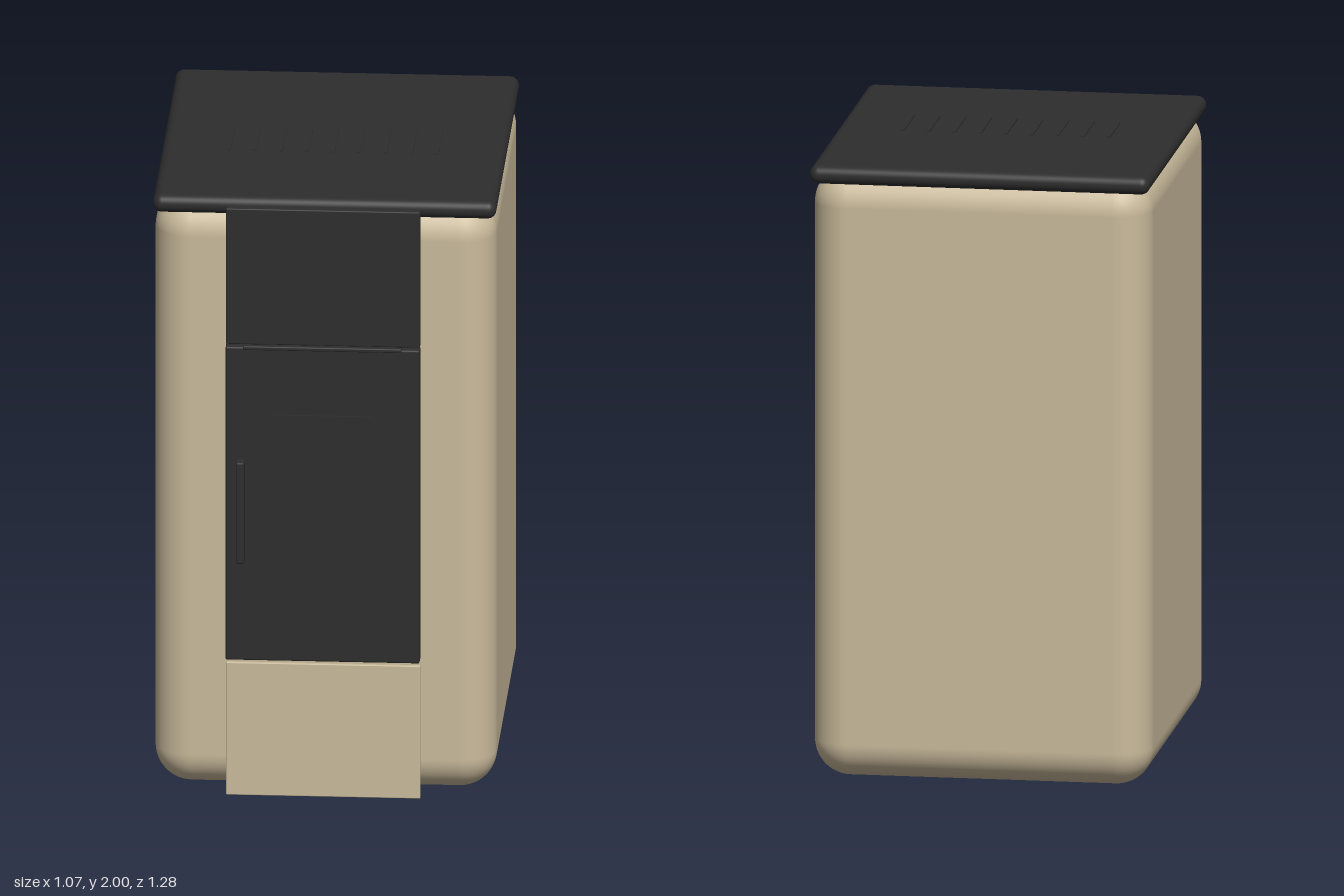
import * as THREE from 'three';
import { RoundedBoxGeometry } from 'three/addons/geometries/RoundedBoxGeometry.js';

export function createModel() {
  const stove = new THREE.Group();
  stove.name = 'stove';

  const cream = new THREE.MeshStandardMaterial({ color: 0xcabb9c });
  cream.name = 'cream enamel';
  const black = new THREE.MeshStandardMaterial({ color: 0x2d2d2d });
  black.name = 'black iron';

  // Box given by its limits on each axis, with rounded edges when radius > 0
  function block(name, material, [x0, x1], [y0, y1], [z0, z1], radius = 0, segments = 2) {
    const size = [x1 - x0, y1 - y0, z1 - z0];
    const geometry = radius > 0
      ? new RoundedBoxGeometry(...size, segments, radius)
      : new THREE.BoxGeometry(...size);
    const mesh = new THREE.Mesh(geometry, material);
    mesh.name = name;
    mesh.position.set((x0 + x1) / 2, (y0 + y1) / 2, (z0 + z1) / 2);
    stove.add(mesh);
    return mesh;
  }

  // Softly rounded casing and the overhanging lid
  block('casing', cream, [-0.532, 0.532], [0.038, 1.98], [-0.635, 0.555], 0.115, 8);
  block('lid', black, [-0.535, 0.535], [1.938, 1.996], [-0.64, 0.552], 0.028, 6);

  // Row of thin vent ribs on the lid
  for (let i = -4; i <= 4; i++) {
    const x = i * 0.081;
    block('ventRib', black, [x - 0.006, x + 0.006], [1.985, 2.0], [-0.1, 0.115]);
  }

  // Front: upper panel, fire door and lower cover
  const width = [-0.305, 0.3];
  block('upperPanel', black, width, [1.522, 1.97], [0.54, 0.577], 0.004);
  block('fireDoor', black, width, [0.485, 1.52], [0.54, 0.597], 0.006);
  block('lowerCover', cream, width, [0.028, 0.466], [0.552, 0.566], 0.003);

  // Door fittings
  block('doorWindow', black, [-0.154, 0.15], [0.823, 1.3], [0.59, 0.606]);
  block('doorHandle', black, [-0.27, -0.244], [0.818, 1.152], [0.59, 0.641], 0.005);
  block('topRail', black, [-0.25, 0.245], [1.517, 1.53], [0.596, 0.616], 0.004);

  // Feet on both sides
  for (const side of [-1, 1]) {
    const x = side * 0.385;
    block('foot', black, [x - 0.042, x + 0.042], [0, 0.06], [-0.138, 0.055], 0.012, 3);
  }

  return stove;
}
